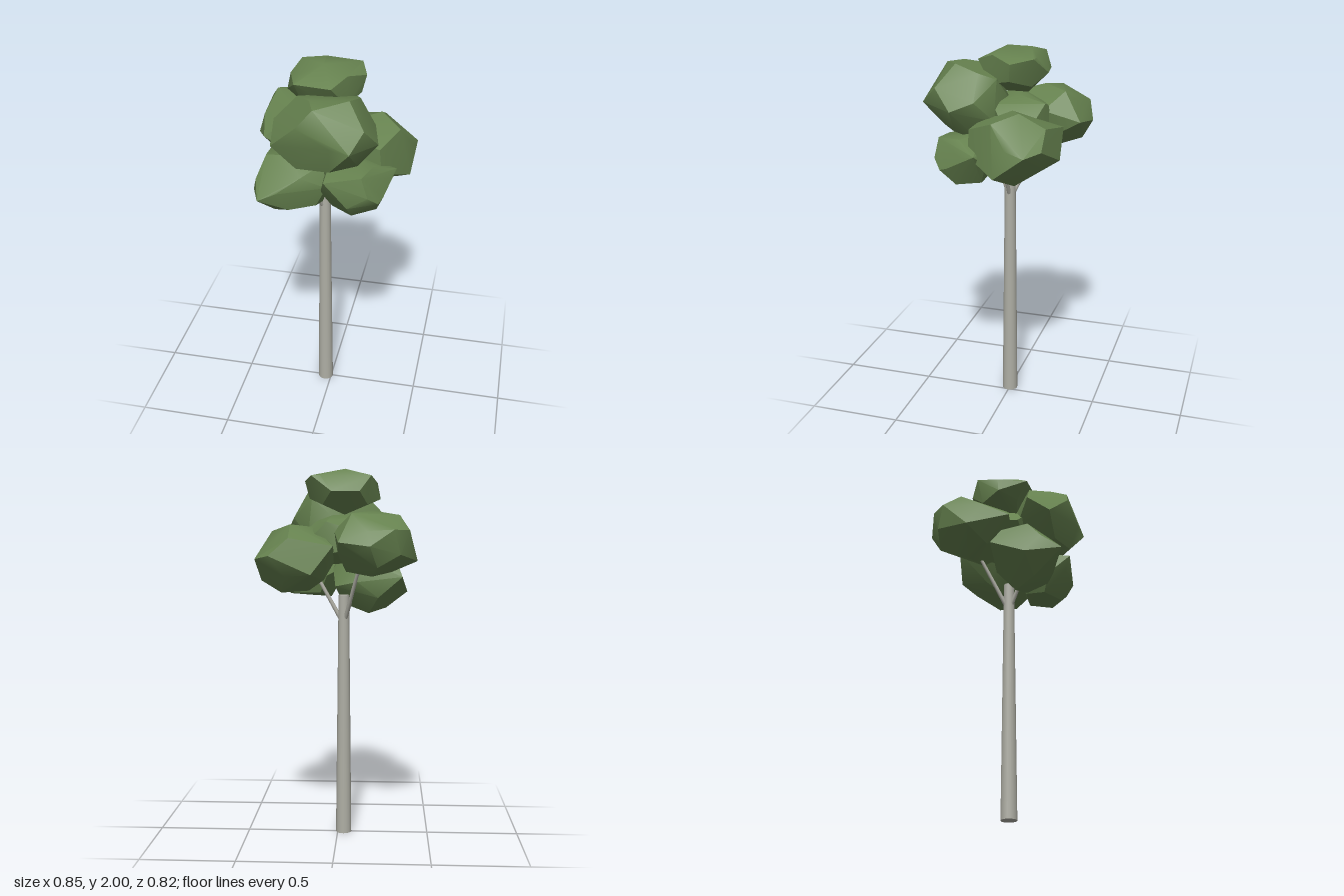
import * as THREE from 'three';
import { toCreasedNormals } from 'three/addons/utils/BufferGeometryUtils.js';
import { ConvexGeometry } from 'three/addons/geometries/ConvexGeometry.js';

// Small seeded generator for the uneven foliage
function seeded(seed) {
  return () => (seed = (seed * 16807) % 2147483647) / 2147483647;
}

// Each clump: centre, radii, and a few corners that stick out of its body
const CLUMPS = [
  { name: 'frontClump', centre: [0.01, 1.72, 0.19], radii: [0.27, 0.2, 0.2], corners: [[0.17, 1.72, 0.41], [-0.25, 1.66, 0.27], [-0.02, 1.9, 0.34], [0.14, 1.85, 0.02]] },
  { name: 'topClump', centre: [-0.03, 1.88, -0.05], radii: [0.2, 0.12, 0.17], corners: [[0.03, 1.93, 0.155], [-0.16, 1.93, 0.13], [0.13, 1.96, -0.17]] },
  { name: 'middleClump', centre: [-0.02, 1.63, -0.04], radii: [0.22, 0.13, 0.2], corners: [] },
  { name: 'backRightClump', centre: [-0.19, 1.61, -0.16], radii: [0.2, 0.17, 0.22], corners: [[-0.18, 1.6, -0.415], [-0.425, 1.52, -0.155], [-0.34, 1.6, 0.06], [-0.02, 1.62, -0.38], [-0.38, 1.68, -0.3]] },
  { name: 'backLeftClump', centre: [0.21, 1.53, -0.09], radii: [0.2, 0.18, 0.22], corners: [[0.425, 1.53, -0.2], [0.01, 1.6, -0.3], [0.41, 1.41, -0.04]] },
  { name: 'lowRightClump', centre: [-0.175, 1.4, 0.14], radii: [0.205, 0.175, 0.18], corners: [[-0.31, 1.38, 0.34], [-0.35, 1.43, -0.04], [0, 1.55, 0.2]] },
  { name: 'lowLeftClump', centre: [0.16, 1.44, 0.18], radii: [0.17, 0.13, 0.16], corners: [[0.355, 1.5, 0.075], [0.295, 1.4, 0.28], [0.03, 1.52, 0.34]] },
];

// Chunky faceted lump: a turned, uneven dodecahedron fitted to its radii
function makeClump({ centre, radii, corners }, seed) {
  const rand = seeded(seed);
  const turn = new THREE.Euler(rand() * 6, rand() * 6, rand() * 6);
  const ball = new THREE.DodecahedronGeometry(1).attributes.position;
  const unique = new Map();
  for (let i = 0; i < ball.count; i++) {
    const v = new THREE.Vector3().fromBufferAttribute(ball, i);
    const key = v.toArray().map((n) => Math.round(n * 100)).join();
    if (!unique.has(key)) unique.set(key, v.applyEuler(turn).multiplyScalar(0.88 + 0.24 * rand()));
  }
  const points = [...unique.values()];
  const box = new THREE.Box3().setFromPoints(points);
  const middle = box.getCenter(new THREE.Vector3());
  const half = box.getSize(new THREE.Vector3()).multiplyScalar(0.5);
  for (const p of points) {
    p.sub(middle).divide(half).multiply(new THREE.Vector3(...radii)).add(new THREE.Vector3(...centre));
  }
  points.push(...corners.map((p) => new THREE.Vector3(...p)));
  return toCreasedNormals(new ConvexGeometry(points), 0.6);
}

// Tapered round limb between two points
function makeLimb(from, to, r0, r1, sides) {
  const a = new THREE.Vector3(...from), b = new THREE.Vector3(...to);
  const dir = b.clone().sub(a);
  const geometry = new THREE.CylinderGeometry(r1, r0, dir.length(), sides);
  geometry.applyQuaternion(new THREE.Quaternion().setFromUnitVectors(new THREE.Vector3(0, 1, 0), dir.normalize()));
  const mid = a.add(b).multiplyScalar(0.5);
  return geometry.translate(mid.x, mid.y, mid.z);
}

export function createModel() {
  const model = new THREE.Group();
  model.name = 'tree';
  const bark = new THREE.MeshStandardMaterial({ color: 0xaeaea4 });
  const leaf = new THREE.MeshStandardMaterial({ color: 0x66824f });
  const add = (name, geometry, material) => {
    const mesh = new THREE.Mesh(geometry, material);
    mesh.name = name;
    model.add(mesh);
  };

  // Tall, slightly tapered trunk
  const trunkX = -0.033;
  add('trunk', makeLimb([trunkX, 0, 0], [trunkX, 1.33, 0], 0.043, 0.029, 16), bark);

  // Three thin branches spread evenly around the trunk
  for (let i = 0; i < 3; i++) {
    const angle = (i * Math.PI * 2) / 3;
    const tip = [trunkX + 0.21 * Math.cos(angle), 1.55, 0.21 * Math.sin(angle)];
    add(`branch${i + 1}`, makeLimb([trunkX, 1.17, 0], tip, 0.012, 0.008, 8), bark);
  }

  // Foliage clumps
  CLUMPS.forEach((clump, i) => add(clump.name, makeClump(clump, 101 + i * 977), leaf));
  return model;
}
